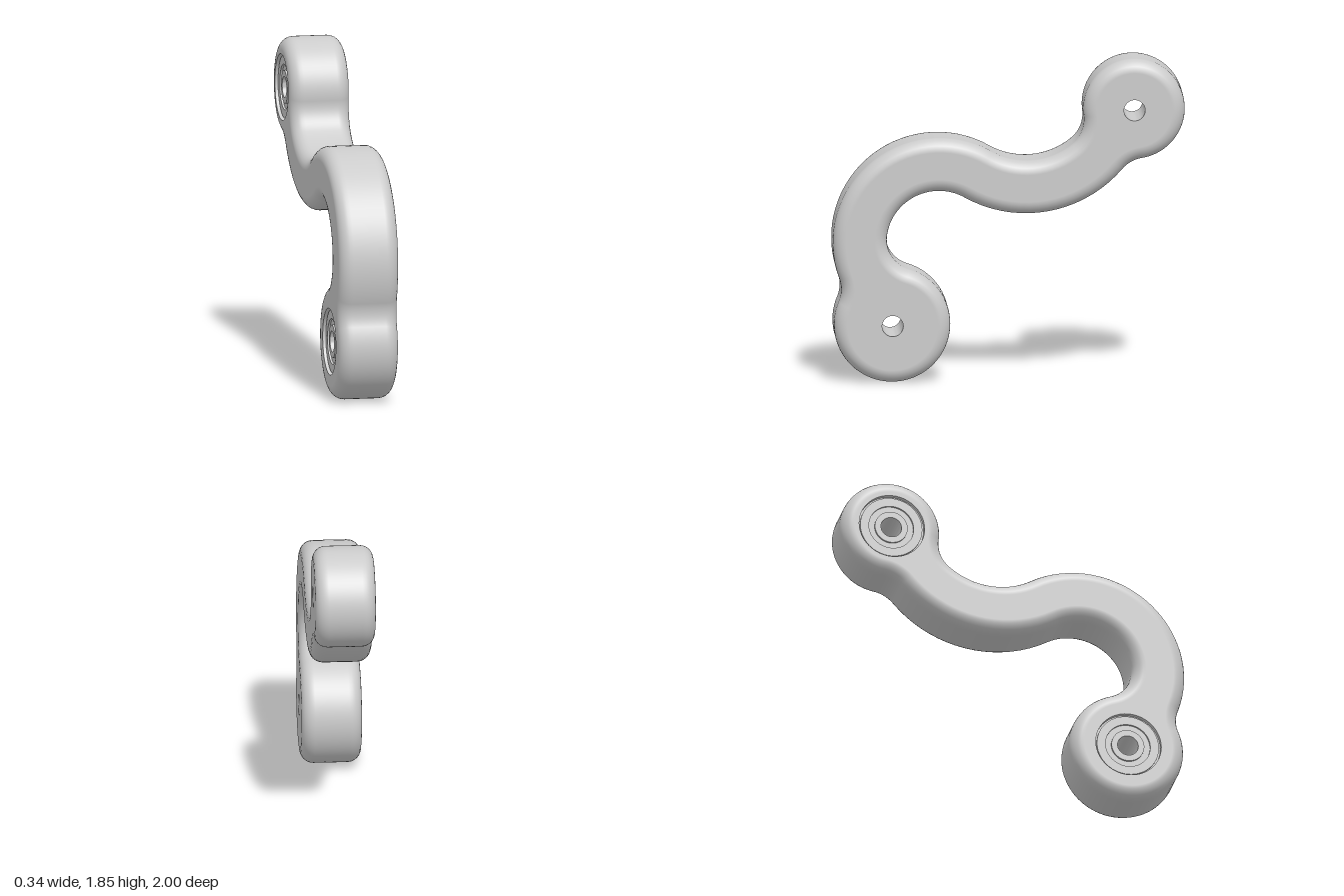
import * as THREE from 'three';
import { toCreasedNormals } from 'three/addons/utils/BufferGeometryUtils.js';

const HALF = 0.172;   // half thickness along x
const ROUND = 0.075;  // edge rounding
const BORE = 0.06;    // pivot hole radius
const POCKET = 0.19;  // bearing pocket radius
const FILLET = 0.18;

// Outline circles in the (z, y) plane: a positive radius bulges out, a negative one is hollow
const circle = (z, y, r) => ({ c: new THREE.Vector2(z, y), r });
const lower = circle(0.663, 0.33, 0.33);
const upper = circle(-0.71, 1.56, 0.288);
const bendOuter = circle(0.4, 0.8, 0.6);
const bendInner = circle(0.4, 0.8, -0.295);
const sagInner = circle(-0.1, 1.677, -0.41);
const sagOuter = circle(-0.1, 1.677, 0.7145);

// Hollow circle tangent to two others, to the right of the line a -> b
function fillet(a, b) {
  const da = Math.abs(a.r + FILLET), db = Math.abs(b.r + FILLET);
  const dir = b.c.clone().sub(a.c), D = dir.length();
  dir.divideScalar(D);
  const along = (da * da - db * db + D * D) / (2 * D);
  const h = Math.sqrt(da * da - along * along);
  return circle(a.c.x + dir.x * along + dir.y * h, a.c.y + dir.y * along - dir.x * h, -FILLET);
}

// Chain of tangent arcs -> points with outward normals, counter-clockwise
function makeOutline() {
  const chain = [lower, fillet(lower, bendOuter), bendOuter, sagInner, fillet(upper, sagInner),
    upper, fillet(upper, sagOuter), sagOuter, bendInner, fillet(lower, bendInner)];
  const n = chain.length;
  const touch = (a, b) => a.c.clone().lerp(b.c, a.r / (a.r - b.r));
  const points = [];
  chain.forEach((arc, i) => {
    const p0 = touch(chain[(i + n - 1) % n], arc).sub(arc.c);
    const p1 = touch(arc, chain[(i + 1) % n]).sub(arc.c);
    const turn = Math.sign(arc.r), full = Math.PI * 2;
    const start = p0.angle();
    const sweep = (((p1.angle() - start) * turn) % full + full) % full;
    const steps = Math.max(4, Math.ceil(sweep / 0.08));
    for (let k = 0; k < steps; k++) {
      const t = start + turn * sweep * k / steps;
      const radial = new THREE.Vector2(Math.cos(t), Math.sin(t));
      points.push({
        p: radial.clone().multiplyScalar(Math.abs(arc.r)).add(arc.c),
        n: radial.multiplyScalar(turn),
      });
    }
  });
  return points;
}

// Rim of the arm with rounded edges
function rimGeometry(outline) {
  const pos = [], nor = [], idx = [], n = outline.length, Q = 6;
  const rings = [];
  for (const side of [-1, 1]) {
    for (let k = 0; k <= Q; k++) {
      const t = (side < 0 ? Q - k : k) / Q * Math.PI / 2;
      rings.push({ x: side * (HALF - ROUND + ROUND * Math.sin(t)), inset: ROUND * (1 - Math.cos(t)), nx: side * Math.sin(t), nr: Math.cos(t) });
    }
  }
  rings.forEach((ring, k) => outline.forEach((o, i) => {
    pos.push(ring.x, o.p.y - o.n.y * ring.inset, o.p.x - o.n.x * ring.inset);
    nor.push(ring.nx, o.n.y * ring.nr, o.n.x * ring.nr);
    if (k === rings.length - 1) return;
    const a = k * n + i, b = k * n + (i + 1) % n;
    idx.push(a, a + n, b, b, a + n, b + n);
  }));
  const g = new THREE.BufferGeometry();
  g.setAttribute('position', new THREE.Float32BufferAttribute(pos, 3));
  g.setAttribute('normal', new THREE.Float32BufferAttribute(nor, 3));
  g.setIndex(idx);
  return g;
}

// Flat face at x = -HALF (s = 1) or x = +HALF (s = -1), pierced at both pivots
function faceGeometry(outline, s, holeRadius) {
  const shape = new THREE.Shape(outline.map(({ p, n }) =>
    new THREE.Vector2(s * (p.x - n.x * ROUND), p.y - n.y * ROUND)));
  for (const { c } of [lower, upper]) {
    shape.holes.push(new THREE.Path().absarc(s * c.x, c.y, holeRadius, 0, Math.PI * 2, true));
  }
  return new THREE.ShapeGeometry(shape, 24).rotateY(-s * Math.PI / 2).translate(-s * HALF, 0, 0);
}

// Through bore, stepped bearing races and pocket wall
function bearingGeometry() {
  const face = -HALF + 0.016, groove = face + 0.012;
  const profile = [[BORE, HALF], [BORE, face], [0.095, face], [0.095, groove], [0.13, groove],
    [0.13, face], [0.18, face], [0.18, groove], [POCKET, groove], [POCKET, -HALF]];
  const g = new THREE.LatheGeometry(profile.map(([r, y]) => new THREE.Vector2(r, y)), 48);
  return toCreasedNormals(g.rotateZ(-Math.PI / 2), 0.6);
}

export function createModel() {
  const model = new THREE.Group();
  model.name = 'curvedLinkArm';
  const material = new THREE.MeshStandardMaterial({ color: 0xcccccc });
  const add = (name, geometry) => {
    const mesh = new THREE.Mesh(geometry, material);
    mesh.name = name;
    model.add(mesh);
    return mesh;
  };

  const outline = makeOutline();
  add('armRim', rimGeometry(outline));
  add('plainFace', faceGeometry(outline, -1, BORE));
  add('bearingFace', faceGeometry(outline, 1, POCKET));

  const bearing = bearingGeometry();
  add('lowerBearing', bearing).position.set(0, lower.c.y, lower.c.x);
  add('upperBearing', bearing).position.set(0, upper.c.y, upper.c.x);
  return model;
}
